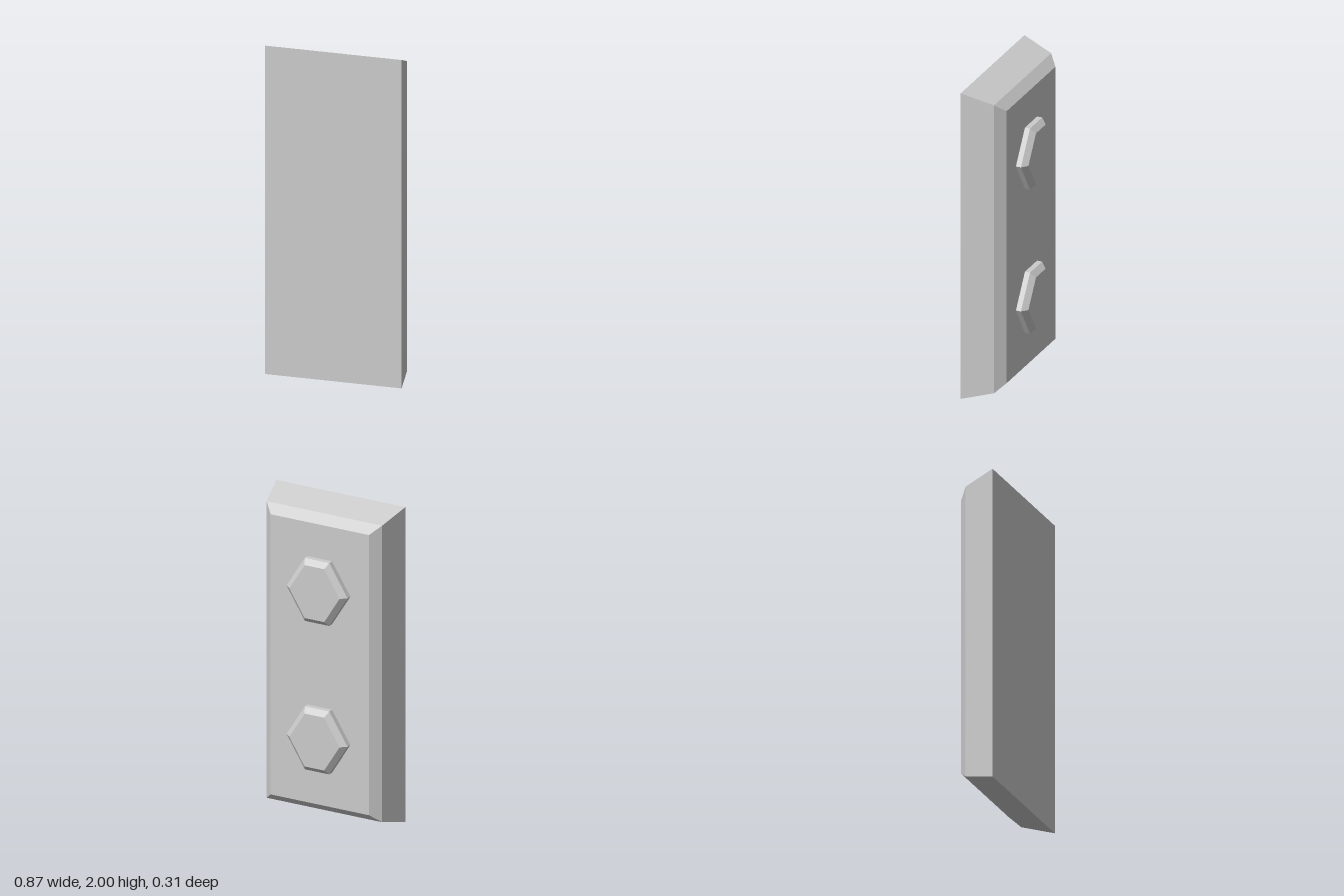
import * as THREE from 'three';

const material = new THREE.MeshStandardMaterial({ color: 0xcccccc, flatShading: true });

// Closed faceted solid through outlines (counter-clockwise from +z), listed front to back
function loft(sections) {
  const points = [];
  const rings = sections.map(({ z, outline }) => outline.map(([x, y]) => [x, y, z]));
  const n = rings[0].length;
  for (let s = 0; s < rings.length - 1; s++) {
    for (let i = 0; i < n; i++) {
      const j = (i + 1) % n;
      const front = rings[s], back = rings[s + 1];
      points.push(front[i], back[i], front[j], front[j], back[i], back[j]);
    }
  }
  const first = rings[0], last = rings[rings.length - 1];
  for (let i = 1; i < n - 1; i++) {
    points.push(first[0], first[i], first[i + 1]);
    points.push(last[0], last[i + 1], last[i]);
  }
  const geometry = new THREE.BufferGeometry();
  geometry.setAttribute('position', new THREE.Float32BufferAttribute(points.flat(), 3));
  geometry.computeVertexNormals();
  return geometry;
}

const rectangle = (w, h) => [[w, -h], [w, h], [-w, h], [-w, -h]];
const hexagon = (w, inner, h) => [[w, 0], [inner, h], [-inner, h], [-w, 0], [-inner, -h], [inner, -h]];

export function createModel() {
  const group = new THREE.Group();

  // Plate with tapered sides and a bevelled back edge
  const plate = new THREE.Mesh(loft([
    { z: 0.157, outline: rectangle(0.437, 1) },
    { z: -0.039, outline: rectangle(0.391, 0.942) },
    { z: -0.094, outline: rectangle(0.333, 0.89) },
  ]), material);
  plate.name = 'plate';
  plate.position.y = 1;
  group.add(plate);

  // Two bevelled hexagonal bolt heads on the back, set slightly into the plate
  const boltGeometry = loft([
    { z: -0.085, outline: hexagon(0.207, 0.083, 0.2) },
    { z: -0.127, outline: hexagon(0.207, 0.083, 0.2) },
    { z: -0.158, outline: hexagon(0.17, 0.066, 0.168) },
  ]);
  for (const [name, y] of [['upperBolt', 1.474], ['lowerBolt', 0.531]]) {
    const bolt = new THREE.Mesh(boltGeometry, material);
    bolt.name = name;
    bolt.position.y = y;
    group.add(bolt);
  }

  return group;
}
